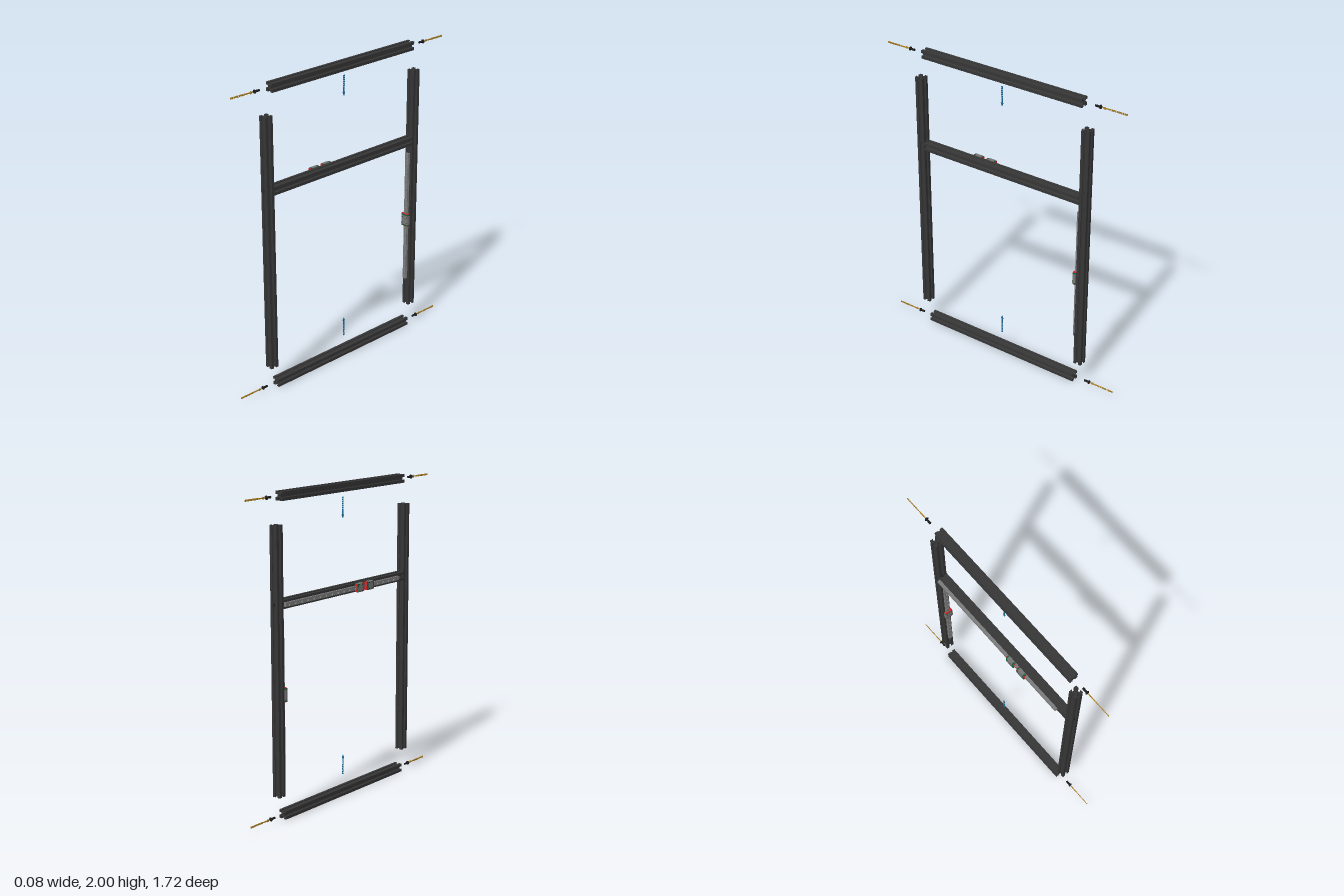
import * as THREE from 'three';
import { mergeGeometries } from 'three/addons/utils/BufferGeometryUtils.js';

const MM = 0.002775;            // one millimetre in model units
const CX = 0.014;               // x of the frame's centre plane
const H = 10 * MM;              // half width of a bar
const mat = (color) => new THREE.MeshStandardMaterial({ color });

// One quadrant of the slotted section; gx and gy clear a gap through the core
const quadrant = (gx, gy) => [
  [4, gy], [4, 2.5], [7, 5.5], [8.2, 5.5], [8.2, 3.1], [10, 3.1], [10, 9.5], [9.5, 10],
  [3.1, 10], [3.1, 8.2], [5.5, 8.2], [5.5, 7], [2.5, 4], [gx, 4],
];
const toShape = (pts) => new THREE.Shape(pts.map(([x, y]) => new THREE.Vector2(x * MM, y * MM)));
const turn = (pts, k) => {
  for (let i = 0; i < k; i++) pts = pts.map(([x, y]) => [-y, x]);
  return pts;
};
const extrude = (shape, depth, at = 0) =>
  new THREE.ExtrudeGeometry(shape, { depth, bevelEnabled: false, curveSegments: 8 }).translate(0, 0, at);

// Plain length of bar with a centre bore
function fullBar(from, to) {
  const shape = toShape([0, 1, 2, 3].flatMap((k) => turn(quadrant(0, 0).slice(1, -1), k)));
  shape.holes.push(new THREE.Path().absarc(0, 0, 2.1 * MM, 0, Math.PI * 2, true));
  return extrude(shape, to - from, from);
}

// Short length of bar with a round cross hole, stepped in slices
function drilledBar(centre, alongX, alongZ) {
  const r = 2.5 * MM, n = 6, parts = [];
  for (let i = 0; i < n; i++) {
    const t = (2 * i + 1) / n - 1;
    const g = 2.45 * Math.sqrt(1 - t * t);
    for (let k = 0; k < 4; k++) {
      const odd = k % 2 === 1;
      const gx = (odd ? alongX : alongZ) ? g : 0;
      const gy = (odd ? alongZ : alongX) ? g : 0;
      const pts = [...quadrant(gx, gy), [gx, gy]];
      parts.push(extrude(toShape(turn(pts, k)), 2 * r / n, centre - r + i * 2 * r / n));
    }
  }
  return parts;
}

// Upright post with its access holes
function post() {
  const holes = [[0.28, 1, 1], [1.285, 1, 0], [1.338, 0, 1], [1.391, 1, 0], [1.78, 1, 1]];
  const r = 2.5 * MM, parts = [];
  let y = 0.152;
  for (const [c, ax, az] of holes) {
    parts.push(fullBar(y, c - r), ...drilledBar(c, ax, az));
    y = c + r;
  }
  parts.push(fullBar(y, 1.808));
  return mergeGeometries(parts).rotateX(-Math.PI / 2);
}

// Button-head screw pointing to -z, underside of head at z = 0
function screw() {
  const g = new THREE.Group();
  const prof = [[0, 1], [1.4, 1], [1.5, 2.7], [2.6, 2.7], [4, 1.7], [4.7, 0], [2.5, 0], [2.5, -12], [0, -12]];
  const geo = new THREE.LatheGeometry(prof.map(([x, y]) => new THREE.Vector2(x * MM, y * MM)).reverse(), 16);
  const mesh = new THREE.Mesh(geo.rotateX(Math.PI / 2), mat(0x1c1c1c));
  mesh.material.flatShading = true;
  mesh.name = 'screwBody';
  g.add(mesh);
  return g;
}

// Flat direction arrow along -z with its tip at z = 0 and a dashed tail
function arrow(color, length, name) {
  const s = new THREE.Shape();
  const head = 0.022;
  [[0, 0], [head, 0.009], [head, 0.0035], [0.058, 0.0035], [0.058, -0.0035], [head, -0.0035], [head, -0.009]]
    .forEach(([z, y], i) => (i ? s.lineTo(z, y) : s.moveTo(z, y)));
  const parts = [extrude(s, 0.005, -0.0025).rotateY(-Math.PI / 2)];
  for (let z = 0.066; z < length; z += 0.012) {
    parts.push(new THREE.BoxGeometry(0.004, 0.011, 0.008).toNonIndexed().translate(0, 0, z));
  }
  const m = new THREE.Mesh(mergeGeometries(parts), mat(color));
  m.name = name;
  return m;
}

// Guide rail along y with countersunk holes, standing on z = 0
function guideRail(length) {
  const layer = (w, d, at, r) => {
    const x = w / 2, y = length / 2;
    const s = new THREE.Shape([[-x, -y], [x, -y], [x, y], [-x, y]].map((p) => new THREE.Vector2(...p)));
    for (let c = -y + 0.028; c < y - 0.01; c += 20 * MM) {
      s.holes.push(new THREE.Path().absarc(0, c, r, 0, Math.PI * 2, true));
    }
    return extrude(s, d * MM, at * MM);
  };
  const geo = mergeGeometries([
    layer(9 * MM, 3, 0, 1.75 * MM), layer(7.4 * MM, 1.5, 3, 3 * MM), layer(9 * MM, 2, 4.5, 3 * MM),
  ]);
  const m = new THREE.Mesh(geo, mat(0x7c7c7c));
  m.name = 'guideRail';
  return m;
}

// Carriage straddling the rail, with end caps and wiper seals
function carriage(length) {
  const g = new THREE.Group();
  g.name = 'carriage';
  const saddle = (w, top, depth, color, at, name) => {
    const s = toShape([[-w, -2.2], [-w, -top + 0.7], [-w + 0.7, -top], [w - 0.7, -top], [w, -top + 0.7],
      [w, -2.2], [4.8, -2.2], [4.8, -6.8], [-4.8, -6.8], [-4.8, -2.2]]);
    const geo = extrude(s, depth, -depth / 2).rotateX(-Math.PI / 2).translate(0, at, 0);
    const m = new THREE.Mesh(geo, mat(color));
    m.name = name;
    g.add(m);
  };
  const cap = 0.009, seal = 0.003;
  const body = length - 2 * (cap + seal);
  saddle(10, 10, body, 0x777777, 0, 'carriageBody');
  for (const e of [-1, 1]) {
    saddle(9.6, 9.6, cap, 0x14603c, e * (body + cap) / 2, 'endCap');
    saddle(9.4, 9.4, seal, 0xd82020, e * (body / 2 + cap + seal / 2), 'wiperSeal');
    for (const sx of [-1, 1]) {
      const hole = new THREE.Mesh(new THREE.CylinderGeometry(0.004, 0.004, 0.0006, 12), mat(0x202020));
      hole.rotation.x = Math.PI / 2;
      hole.position.set(sx * 7 * MM, e * body * 0.3, 10 * MM);
      hole.name = 'mountingHole';
      g.add(hole);
    }
  }
  return g;
}

export function createModel() {
  const model = new THREE.Group();
  model.name = 'explodedFrame';
  const add = (obj, name, x, y, z) => {
    obj.name = name;
    obj.position.set(x, y, z);
    model.add(obj);
    return obj;
  };
  const dark = mat(0x363636);

  // Uprights
  const postGeo = post();
  for (const s of [1, -1]) add(new THREE.Mesh(postGeo, dark), s > 0 ? 'frontPost' : 'backPost', CX, 0, s * 0.606);

  // Cross bars
  const barGeo = fullBar(-0.577, 0.577);
  const levels = { bottomBar: H, middleBar: 1.338, topBar: 2 - H };
  for (const [name, y] of Object.entries(levels)) add(new THREE.Mesh(barGeo, dark), name, CX, y, 0);

  // Screws and insertion arrows at both ends of each bar
  for (const s of [1, -1]) {
    for (const [name, y] of Object.entries(levels)) {
      const loose = name !== 'middleBar';
      add(screw(), name + 'Screw', CX, y, s * (loose ? 0.683 : 0.618)).rotation.y = s > 0 ? 0 : Math.PI;
      if (loose) {
        add(arrow(0xb08428, 0.167, 'screwArrow'), 'screwArrow', CX, y, s * 0.693).rotation.y = s > 0 ? 0 : Math.PI;
      }
    }
  }

  // Assembly arrows for the loose bars
  add(arrow(0x1f6f9c, 0.13, 'topArrow'), 'topArrow', CX, 1.78, -0.005).rotation.x = -Math.PI / 2;
  add(arrow(0x1f6f9c, 0.13, 'bottomArrow'), 'bottomArrow', CX, 0.263, -0.005).rotation.x = Math.PI / 2;

  // Vertical rail on the inner face of the back post
  const vertical = add(new THREE.Group(), 'verticalRail', CX, 0.8, -0.606 + H);
  const slider = carriage(0.088);
  slider.position.y = -0.015;
  vertical.add(guideRail(0.9), slider);

  // Horizontal rail on the right side of the middle bar
  const horizontal = add(new THREE.Group(), 'horizontalRail', CX - H, 1.338, -0.034);
  horizontal.quaternion.setFromRotationMatrix(new THREE.Matrix4().makeBasis(
    new THREE.Vector3(0, -1, 0), new THREE.Vector3(0, 0, 1), new THREE.Vector3(-1, 0, 0)));
  horizontal.add(guideRail(1.086));
  for (const z of [0.106, 0.202]) {
    const c = carriage(0.068);
    c.position.y = z + 0.034;
    horizontal.add(c);
  }
  return model;
}
